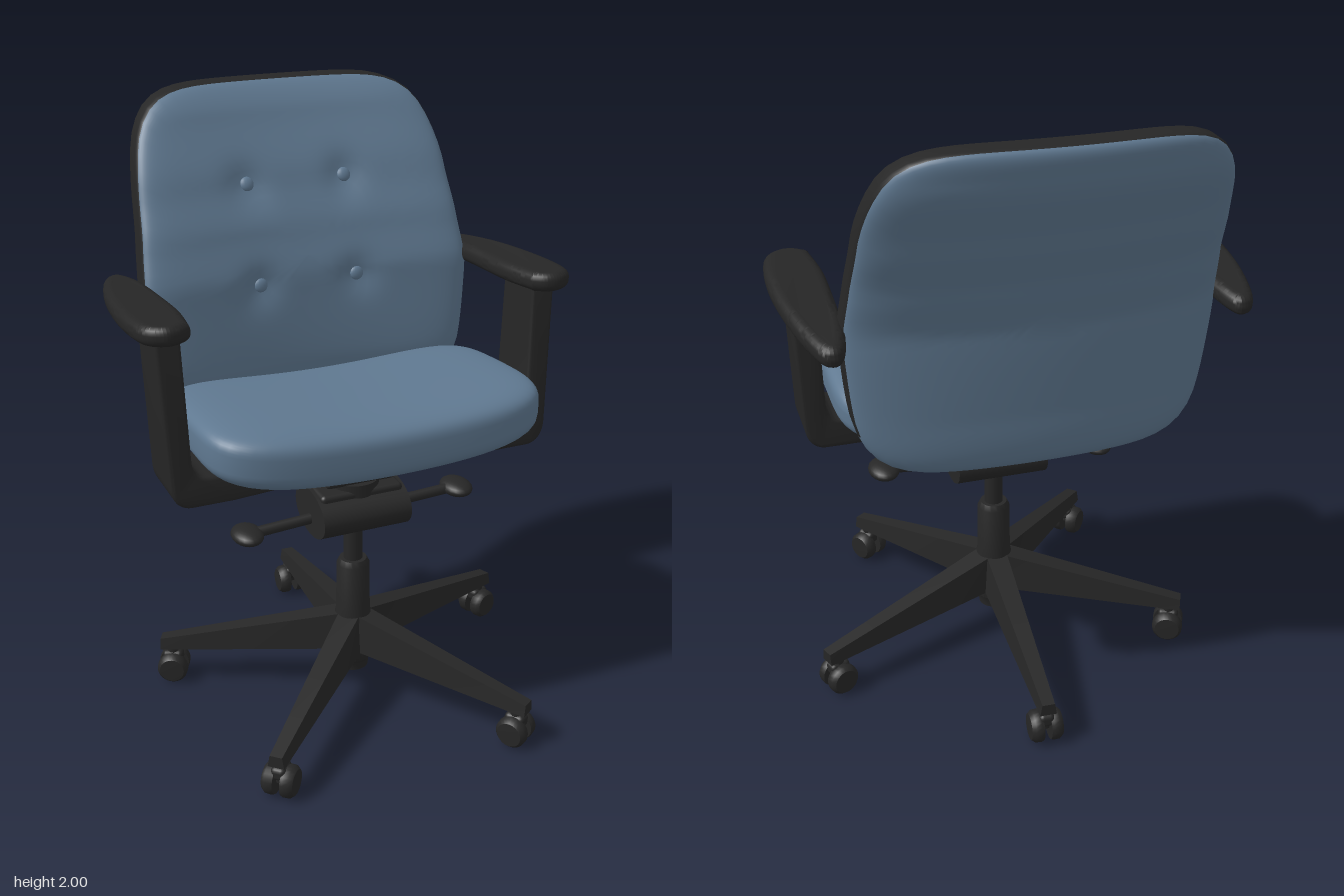
import * as THREE from 'three';
import { toCreasedNormals } from 'three/addons/utils/BufferGeometryUtils.js';
import { RoundedBoxGeometry } from 'three/addons/geometries/RoundedBoxGeometry.js';

const HUB_Z = 0.08;

// Linear interpolation through [key, value] stops
function ramp(stops, k) {
  for (let i = 1; i < stops.length; i++) {
    const [k0, v0] = stops[i - 1], [k1, v1] = stops[i];
    if (k <= k1) return v0 + (v1 - v0) * THREE.MathUtils.smoothstep(k, k0, k1) * 0.3 + (v1 - v0) * 0.7 * Math.max(0, (k - k0) / (k1 - k0));
  }
  return stops[stops.length - 1][1];
}

// Pillow made of rings: place(a, b, h) maps unit plan (a, b) and height h to a point;
// band(u, point) picks the second material for a quad
function cushion(n, place, band = () => false, rings = 60, segs = 96) {
  const pos = [], quads = [[], []];
  for (let i = 0; i <= rings; i++) {
    const u = 1 - (2 * i) / rings, r = 1 - u * u;
    const h = Math.sign(u) * Math.pow(1 - Math.pow(r, 4), 0.25);
    for (let j = 0; j < segs; j++) {
      const c = Math.cos((j / segs) * Math.PI * 2), s = Math.sin((j / segs) * Math.PI * 2);
      const q = r / Math.pow(Math.abs(c) ** n + Math.abs(s) ** n, 1 / n);
      pos.push(...place(c * q, s * q, h));
    }
  }
  for (let i = 0; i < rings; i++) for (let j = 0; j < segs; j++) {
    const k = (j + 1) % segs, p = i * segs + j, q = p + segs, t = i * segs + k, w = t + segs;
    const u = 1 - (2 * i + 1) / rings;
    quads[band(u, pos.slice(p * 3, p * 3 + 3)) ? 1 : 0].push(p, q, w, p, w, t);
  }
  const g = new THREE.BufferGeometry();
  g.setAttribute('position', new THREE.Float32BufferAttribute(pos, 3));
  g.setIndex([...quads[0], ...quads[1]]);
  g.addGroup(0, quads[0].length, 0);
  g.addGroup(quads[0].length, quads[1].length, 1);
  g.computeVertexNormals();
  return g;
}

// Apply a rule to every vertex
function warp(g, rule) {
  const p = g.attributes.position, v = new THREE.Vector3();
  for (let i = 0; i < p.count; i++) {
    rule(v.fromBufferAttribute(p, i));
    p.setXYZ(i, v.x, v.y, v.z);
  }
  return g;
}

// Backrest: leaning and wrapped slightly forward at the sides, dimpled at the buttons
const LEAN = [[0.9, -0.355], [1.1, -0.35], [1.4, -0.372], [1.55, -0.42], [1.7, -0.485], [1.9, -0.575], [2.01, -0.622]];
const WIDTH = [[0.9, 0.54], [1.1, 0.56], [1.38, 0.58], [1.7, 0.55], [2.0, 0.515]];
const BUTTONS = [[-0.175, 1.69], [0.172, 1.69], [-0.175, 1.375], [0.172, 1.375]];
function backPoint(a, b, h) {
  const y = 1.457 + b * 0.542, x = a * ramp(WIDTH, y);
  let z = ramp(LEAN, y) + 0.06 * (x / 0.55) ** 2 + h * 0.1;
  if (h > 0) for (const [bx, by] of BUTTONS) z -= 0.022 * Math.exp(-((x - bx) ** 2 + (y - by) ** 2) / 0.004);
  return [x, y, z];
}

// Seat: dished across its width, dropping a little towards the rear
function seatPoint(a, b, h) {
  const x = a * 0.567, z = 0.073 - b * 0.347;
  const drop = 0.035 * THREE.MathUtils.smoothstep(-z, -0.25, 0.3);
  return [x, 1.02 + h * 0.107 + 0.045 * a * a - drop * (h > 0 ? 1 : 0.3), z];
}

export function createModel() {
  const model = new THREE.Group();
  const blue = new THREE.MeshStandardMaterial({ color: 0x5f7890 });
  blue.name = 'blue upholstery';
  const black = new THREE.MeshStandardMaterial({ color: 0x262626 });
  black.name = 'black plastic';

  function add(name, geo, x = 0, y = 0, z = 0, parent = model, mat = black) {
    const m = new THREE.Mesh(geo, mat);
    m.name = name;
    m.position.set(x, y, z);
    parent.add(m);
    return m;
  }
  const cyl = (r0, r1, y0, y1, n = 28) => new THREE.CylinderGeometry(r1, r0, y1 - y0, n).translate(0, (y0 + y1) / 2, 0);

  // Upholstery
  add('backrest', cushion(6, backPoint, (u, p) => Math.abs(u) < 0.1 && p[1] > 1.03), 0, 0, 0, model, [blue, black]);
  add('seatCushion', cushion(5, seatPoint), 0, 0, 0, model, [blue, blue]);
  for (const [x, y] of BUTTONS) {
    const z = ramp(LEAN, y) + 0.06 * (x / 0.55) ** 2 + 0.08;
    const b = add('backButton', new THREE.SphereGeometry(0.024, 16, 12).scale(1, 1, 0.5), x, y, z, model, blue);
    b.rotation.x = y > 1.5 ? -0.4 : -0.15;
  }

  // Support under the seat and up to the backrest
  add('seatPan', new RoundedBoxGeometry(0.56, 0.05, 0.4, 3, 0.02), 0, 0.915, 0.07);
  const spine = add('backBracket', new RoundedBoxGeometry(0.2, 0.035, 0.34, 3, 0.012), 0, 0.925, -0.2);
  spine.rotation.x = 0.12;
  const bend = new THREE.CatmullRomCurve3([[-0.27, 0.91], [-0.235, 0.86], [-0.17, 0.83], [0, 0.83], [0.17, 0.83], [0.235, 0.86], [0.27, 0.91]]
    .map(([x, y]) => new THREE.Vector3(x, y, 0.1)));
  add('supportTube', new THREE.TubeGeometry(bend, 40, 0.016, 10));
  add('upperBlock', new RoundedBoxGeometry(0.24, 0.06, 0.13, 3, 0.012), 0, 0.83, HUB_Z);
  add('upperCollar', cyl(0.06, 0.06, 0.8, 0.91), 0, 0, HUB_Z);
  add('lowerCollar', cyl(0.085, 0.085, 0.755, 0.805), 0, 0, HUB_Z);

  // Tilt mechanism: oval barrel with a lever each side
  const barrel = new THREE.CylinderGeometry(1, 1, 0.31, 36).rotateZ(Math.PI / 2).scale(1, 0.08, 0.128);
  add('tiltBarrel', barrel, 0, 0.7, HUB_Z);
  add('tiltHousing', new RoundedBoxGeometry(0.29, 0.15, 0.16, 3, 0.015), 0, 0.71, HUB_Z);
  for (const [s, y, len] of [[-1, 0.664, 0.375], [1, 0.69, 0.385]]) {
    const rod = new THREE.LineCurve3(new THREE.Vector3(s * 0.14, 0.678, HUB_Z), new THREE.Vector3(s * len, y, HUB_Z));
    add('leverRod', new THREE.TubeGeometry(rod, 1, 0.018, 12));
    add('leverPaddle', new THREE.SphereGeometry(1, 20, 14).scale(0.052, 0.027, 0.072), s * len, y, HUB_Z);
  }

  // Armrests
  for (const s of [-1, 1]) {
    const arm = new THREE.Group();
    arm.name = s > 0 ? 'leftArm' : 'rightArm';
    model.add(arm);

    // L-shaped bracket, narrowing upwards
    const L = new THREE.Shape();
    L.moveTo(s * 0.27, 0.865);
    L.lineTo(s * 0.45, 0.855);
    L.lineTo(s * 0.59, 0.855);
    L.quadraticCurveTo(s * 0.645, 0.86, s * 0.652, 0.93);
    L.lineTo(s * 0.672, 1.4);
    L.lineTo(s * 0.592, 1.4);
    L.lineTo(s * 0.58, 1.0);
    L.quadraticCurveTo(s * 0.577, 0.955, s * 0.53, 0.95);
    L.lineTo(s * 0.27, 0.935);
    const bracket = new THREE.ExtrudeGeometry(L, { depth: 0.19, bevelThickness: 0.012, bevelSize: 0.012, bevelOffset: -0.012, bevelSegments: 3, curveSegments: 10 });
    warp(bracket, v => {
      const t = Math.max(0, (v.y - 0.9) / 0.5);
      v.z = (v.z - 0.095) * (1 - 0.14 * t) + 0.09 - 0.012 * t;
    });
    add('armBracket', toCreasedNormals(bracket, 0.6), 0, 0, 0, arm);

    // Pad with a bowed outline, drooping to the rear
    const P = new THREE.Shape();
    const pts = [[0.57, 0.2], [0.553, 0.05], [0.556, -0.15], [0.565, -0.34], [0.59, -0.455], [0.63, -0.473], [0.665, -0.43],
      [0.705, -0.27], [0.728, -0.08], [0.73, 0.08], [0.712, 0.19], [0.66, 0.235], [0.61, 0.232], [0.57, 0.2]]
      .map(([x, z]) => new THREE.Vector2(s * x, -z));
    P.moveTo(pts[0].x, pts[0].y);
    P.splineThru(pts.slice(1));
    const pad = new THREE.ExtrudeGeometry(P, { depth: 0.012, bevelThickness: 0.026, bevelSize: 0.03, bevelOffset: -0.03, bevelSegments: 5, curveSegments: 48 });
    pad.rotateX(-Math.PI / 2);
    warp(pad, v => { v.y += 1.413 + 0.05 * v.z - 0.1 * Math.min(0, v.z + 0.15) ** 2; });
    add('armPad', toCreasedNormals(pad, 0.8), 0, 0, 0, arm);
  }

  // Gas column
  add('columnRod', cyl(0.032, 0.032, 0.45, 0.66), 0, 0, HUB_Z);
  const sleeve = [[0, 0.08], [0.052, 0.08], [0.055, 0.11], [0.062, 0.12], [0.064, 0.28], [0.058, 0.31], [0.056, 0.48], [0.046, 0.5], [0, 0.5]];
  const sleeveGeo = new THREE.LatheGeometry(sleeve.map(([r, y]) => new THREE.Vector2(r, y)), 28);
  add('columnSleeve', toCreasedNormals(sleeveGeo, 0.6), 0, 0, HUB_Z);

  // Five tapered legs with twin-wheel casters
  const feet = [[0.35, 0.61], [0.617, -0.15], [0.03, -0.592], [-0.565, -0.2], [-0.45, 0.55]];
  for (const [x, z] of feet) {
    const reach = Math.hypot(x, z - HUB_Z);
    const leg = new THREE.Group();
    leg.name = 'baseLeg';
    leg.position.z = HUB_Z;
    leg.rotation.y = Math.atan2(x, z - HUB_Z);
    model.add(leg);

    const beam = warp(new THREE.BoxGeometry(1, 1, 1, 1, 1, 4), v => {
      const t = v.z + 0.5, top = v.y > 0;
      v.x *= (0.1 - 0.045 * t) * (top ? 0.75 : 1);
      v.y = top ? 0.3 - 0.135 * t : 0.165 - 0.04 * t;
      v.z = 0.02 + t * (reach + 0.02);
    });
    add('legBeam', toCreasedNormals(beam, 0.5), 0, 0, 0, leg);
    add('casterStem', cyl(0.018, 0.022, 0.05, 0.15, 14), 0, 0, reach, leg);
    add('casterHood', new RoundedBoxGeometry(0.05, 0.045, 0.07, 2, 0.015), 0, 0.09, reach, leg);
    for (const s of [-1, 1]) {
      const prof = [[0, -0.02], [0.05, -0.02], [0.053, -0.012], [0.052, 0.008], [0.042, 0.02], [0, 0.022]];
      const wheel = new THREE.LatheGeometry(prof.map(([r, y]) => new THREE.Vector2(r, y)), 24).rotateZ(-s * Math.PI / 2);
      add('casterWheel', toCreasedNormals(wheel, 0.7), s * 0.032, 0.055, reach, leg);
    }
  }
  return model;
}
